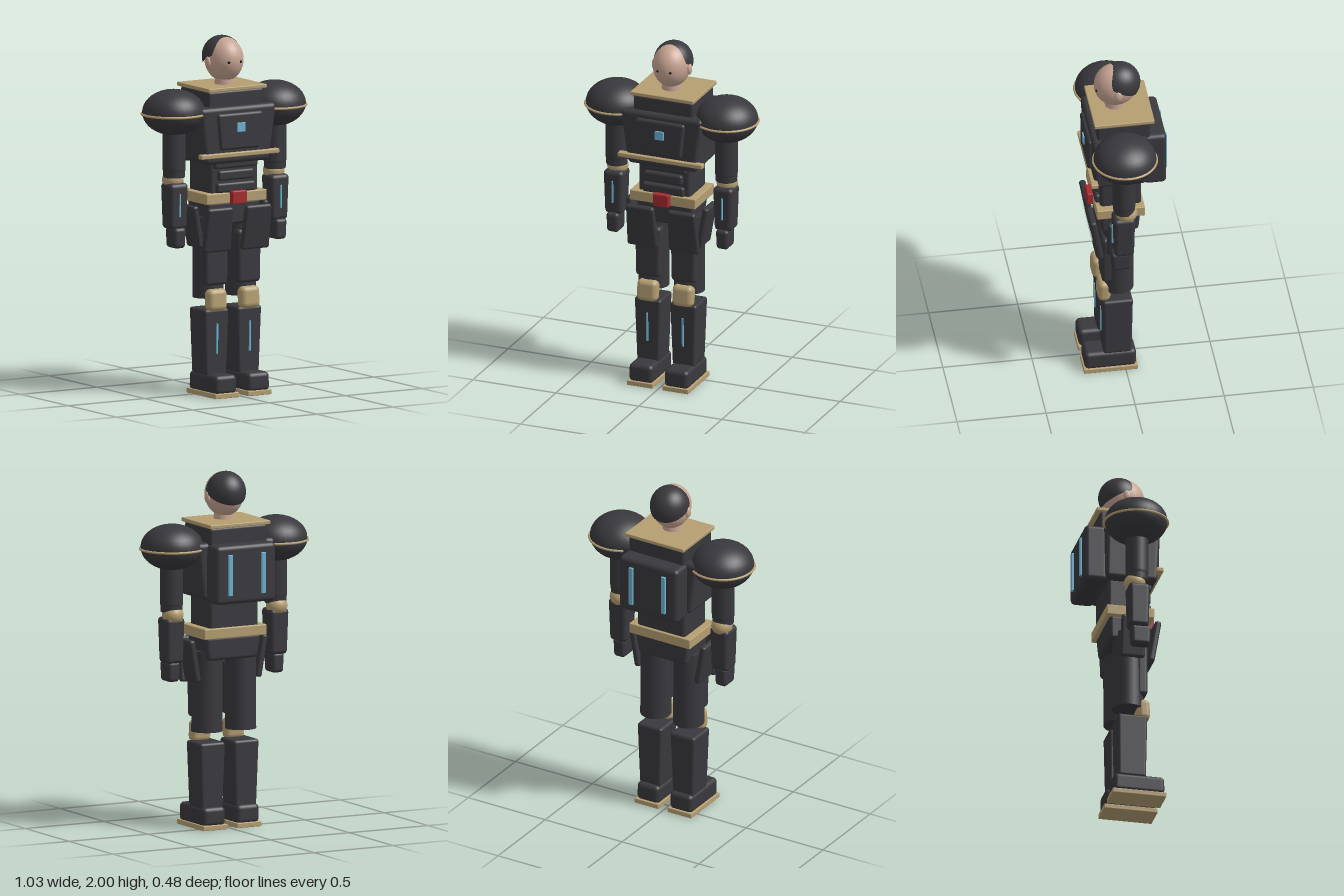
import * as THREE from 'three';
import { RoundedBoxGeometry } from 'three/addons/geometries/RoundedBoxGeometry.js';

const material = (name, color) => {
  const m = new THREE.MeshStandardMaterial({ color });
  m.name = name;
  return m;
};

// Rounded box whose lower end is scaled by kx and kz.
function taperedBox(w, h, d, r, kx = 1, kz = 1) {
  const g = new RoundedBoxGeometry(w, h, d, 3, r);
  const p = g.attributes.position;
  for (let i = 0; i < p.count; i++) {
    const t = 0.5 - p.getY(i) / h;
    p.setX(i, p.getX(i) * (1 + (kx - 1) * t));
    p.setZ(i, p.getZ(i) * (1 + (kz - 1) * t));
  }
  return g;
}

export function createModel() {
  const root = new THREE.Group();
  root.name = 'armoredFigure';
  const dark = material('charcoal', 0x39383d);
  const gold = material('tan', 0xb59f72);
  const skin = material('skin', 0xc8a594);
  const blue = material('lightBlue', 0x6fb3d2);
  const red = material('red', 0xa52a30);
  const black = material('black', 0x151515);

  const add = (name, geo, mat, x, y, z, parent = root) => {
    const mesh = new THREE.Mesh(geo, mat);
    mesh.name = name;
    mesh.position.set(x, y, z);
    parent.add(mesh);
    return mesh;
  };
  const ball = (name, mat, x, y, z, rx, ry, rz, parent = root) => {
    const mesh = add(name, new THREE.SphereGeometry(1, 32, 20), mat, x, y, z, parent);
    mesh.scale.set(rx, ry, rz);
    return mesh;
  };
  // Rounded box given by its centre x, bottom and top y, back and front z.
  const block = (name, mat, x, w, y0, y1, z0, z1, r = 0.012, kx = 1, kz = 1, parent = root) =>
    add(name, taperedBox(w, y1 - y0, z1 - z0, r, kx, kz), mat, x, (y0 + y1) / 2, (z0 + z1) / 2, parent);

  // Head
  ball('head', skin, 0, 1.87, 0.03, 0.104, 0.125, 0.122);
  const hair = add('hair', new THREE.SphereGeometry(1, 40, 20, 0, Math.PI * 2, 0, Math.PI * 0.53), dark, 0, 1.884, 0.008);
  hair.geometry.rotateX(-0.48);
  hair.scale.set(0.11, 0.116, 0.116);
  add('neck', new THREE.CylinderGeometry(0.05, 0.06, 0.12, 24), skin, 0, 1.74, 0.035);

  // Torso
  block('collarPlate', gold, 0, 0.38, 1.71, 1.732, -0.16, 0.177, 0.005);
  block('collarBase', dark, 0, 0.36, 1.58, 1.712, -0.14, 0.16, 0.015);
  block('chest', dark, 0, 0.5, 1.305, 1.625, -0.12, 0.19, 0.025, 0.82, 0.95);
  block('chestPlate', dark, 0, 0.295, 1.385, 1.59, 0.16, 0.208, 0.016, 0.85);
  block('chestLight', blue, 0, 0.052, 1.483, 1.535, 0.2, 0.216, 0.003);
  block('chestTrim', gold, 0, 0.51, 1.343, 1.369, 0.165, 0.205, 0.006);
  block('abdomen', dark, 0, 0.31, 1.1, 1.32, -0.09, 0.14, 0.02);
  [[1.275, 1.325, 0.28], [1.208, 1.265, 0.23], [1.14, 1.195, 0.25]].forEach(([y0, y1, w]) =>
    block('abdomenPlate', dark, 0, w, y0, y1, 0.12, 0.165, 0.014));

  // Backpack
  block('backpack', dark, 0, 0.38, 1.29, 1.62, -0.228, -0.1, 0.025);

  // Belt and hips
  block('belt', gold, 0, 0.395, 1.08, 1.14, -0.105, 0.165, 0.006);
  block('buckle', red, 0, 0.094, 1.077, 1.15, 0.15, 0.197, 0.006);
  block('pelvis', dark, 0, 0.35, 0.953, 1.09, -0.085, 0.14, 0.02, 0.88, 0.92);

  for (const s of [1, -1]) {
    const side = s > 0 ? 'left' : 'right';
    const group = (part) => {
      const g = new THREE.Group();
      g.name = side + part;
      root.add(g);
      return g;
    };

    // Face and pack details
    const details = group('Details');
    ball('ear', skin, s * 0.106, 1.858, 0.03, 0.013, 0.032, 0.022, details);
    ball('eye', black, s * 0.038, 1.865, 0.143, 0.008, 0.008, 0.006, details);
    block('packLight', blue, s * 0.105, 0.026, 1.34, 1.57, -0.24, -0.225, 0.003, 1, 1, details);

    // Arm
    const arm = group('Arm');
    const ax = s * 0.33;
    ball('shoulderPad', dark, ax, 1.597, 0.03, 0.175, 0.128, 0.175, arm);
    const rim = add('shoulderRim', new THREE.TorusGeometry(0.177, 0.007, 8, 56), gold, ax, 1.588, 0.03, arm);
    rim.rotation.x = Math.PI / 2;
    add('upperArm', new THREE.CapsuleGeometry(0.064, 0.2, 8, 24), dark, ax, 1.385, 0.035, arm);
    add('upperArmCuff', new THREE.CylinderGeometry(0.064, 0.06, 0.11, 24), dark, ax, 1.288, 0.035, arm);
    ball('elbow', gold, ax, 1.217, 0.022, 0.06, 0.055, 0.06, arm);
    block('forearm', dark, ax, 0.12, 0.945, 1.203, -0.022, 0.1, 0.024, 0.86, 0.9, arm);
    block('forearmLight', blue, ax, 0.01, 1.015, 1.145, 0.09, 0.104, 0.003, 1, 1, arm);
    block('hand', dark, ax, 0.076, 0.84, 0.955, -0.005, 0.11, 0.02, 0.92, 0.9, arm);

    // Hip armour
    const leg = group('Leg');
    const frontPlate = block('frontHipPlate', dark, s * 0.125, 0.165, 0.81, 1.065, 0.148, 0.185, 0.015, 1.1, 1, leg);
    frontPlate.rotation.x = 0.17;
    const sidePlate = block('sideHipPlate', dark, s * 0.212, 0.036, 0.83, 1.07, -0.03, 0.11, 0.014, 1, 1, leg);
    sidePlate.rotation.z = -s * 0.17;

    // Leg
    const lx = s * 0.107;
    add('thigh', new THREE.CylinderGeometry(0.085, 0.087, 0.455, 28), dark, lx, 0.7725, 0.033, leg);
    block('thighPlate', dark, lx, 0.155, 0.62, 0.92, 0.07, 0.133, 0.02, 0.92, 1, leg);
    block('kneePad', gold, lx, 0.122, 0.475, 0.6, 0.077, 0.153, 0.03, 1, 0.9, leg).rotation.x = -0.06;
    block('shin', dark, lx, 0.16, 0.115, 0.487, -0.04, 0.13, 0.016, 0.83, 0.93, leg);
    const light = block('shinLight', blue, lx, 0.011, 0.235, 0.405, 0.12, 0.134, 0.003, 1, 1, leg);
    light.rotation.x = 0.015;
    block('boot', dark, lx, 0.142, 0.02, 0.127, -0.06, 0.23, 0.025, 1.02, 1, leg);
    block('sole', gold, lx, 0.155, 0, 0.028, -0.068, 0.236, 0.004, 1, 1, leg);
  }
  return root;
}
